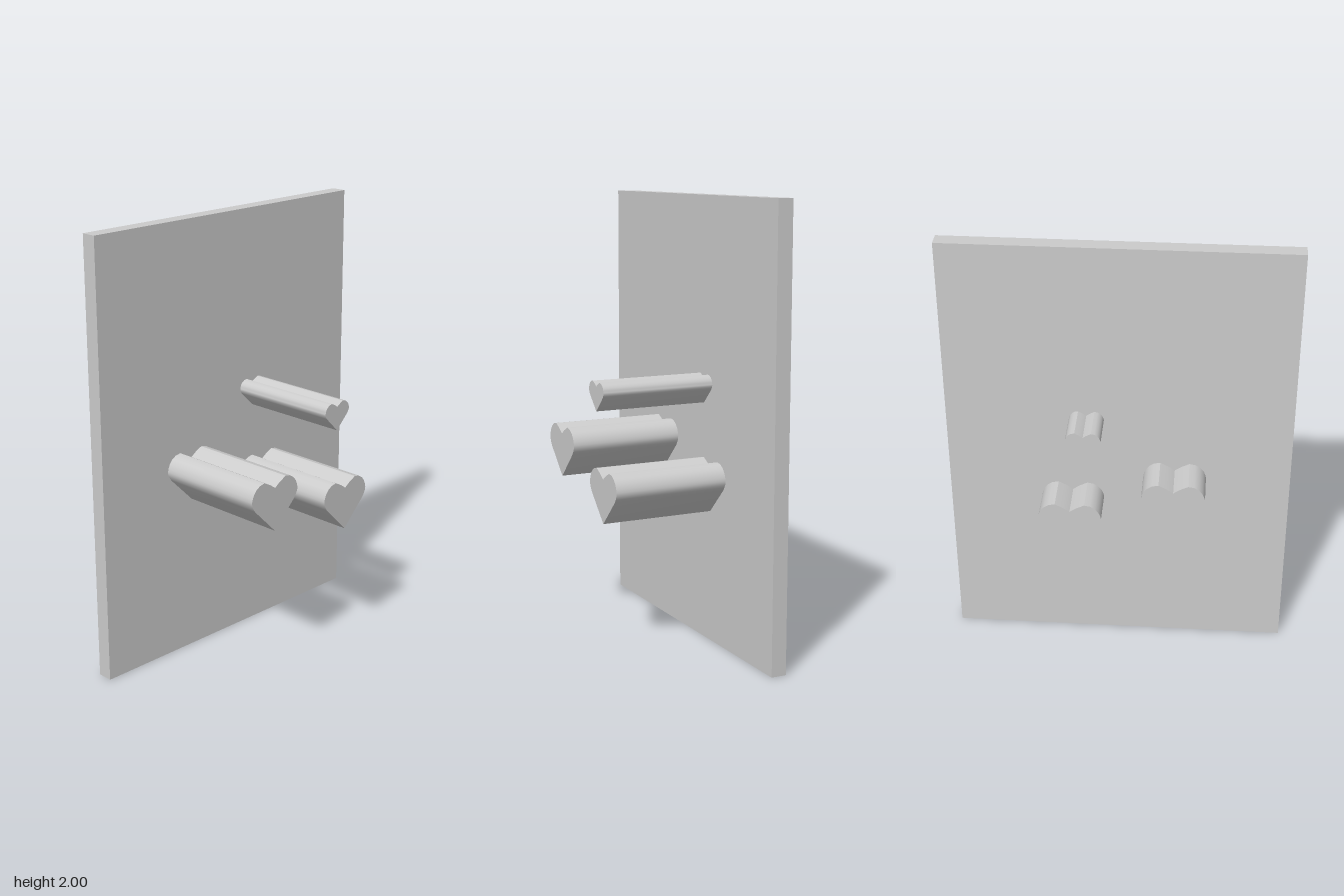
import * as THREE from 'three';
import { toCreasedNormals } from 'three/addons/utils/BufferGeometryUtils.js';

const material = new THREE.MeshStandardMaterial({ color: 0xcccccc });

// Lobe of the heart, from the end of the straight flank up to the notch; the tip is at the origin
const LOBE = [[0.12, 0.12], [0.137, 0.15], [0.135, 0.18], [0.113, 0.216], [0.064, 0.235], [0, 0.197]];

function heartShape(scale) {
  const curve = new THREE.SplineCurve(LOBE.map(([x, y]) => new THREE.Vector2(x * scale, y * scale)));
  const right = curve.getPoints(10);
  const left = right.slice(0, -1).reverse().map((p) => new THREE.Vector2(-p.x, p.y));
  return new THREE.Shape([new THREE.Vector2(0, 0), ...right, ...left]);
}

// Heart-section bar running along x, with its tip at height y
function heartBar(name, y, z, scale) {
  const length = 0.766;
  const geometry = new THREE.ExtrudeGeometry(heartShape(scale), { depth: length, bevelEnabled: false });
  geometry.rotateY(Math.PI / 2);
  const bar = new THREE.Mesh(toCreasedNormals(geometry, 0.6), material);
  bar.name = name;
  bar.position.set(-length / 2, y, z);
  return bar;
}

export function createModel() {
  const model = new THREE.Group();
  model.name = 'panelWithHeartBars';

  // Upright panel
  const panel = new THREE.Mesh(new THREE.BoxGeometry(0.07, 2, 1.51), material);
  panel.name = 'panel';
  panel.position.set(-0.177, 1, 0);
  model.add(panel);

  // Three bars passing through the panel
  model.add(
    heartBar('frontHeartBar', 0.725, 0.247, 1),
    heartBar('backHeartBar', 0.601, -0.205, 1),
    heartBar('smallHeartBar', 1.085, -0.141, 0.55),
  );
  return model;
}
